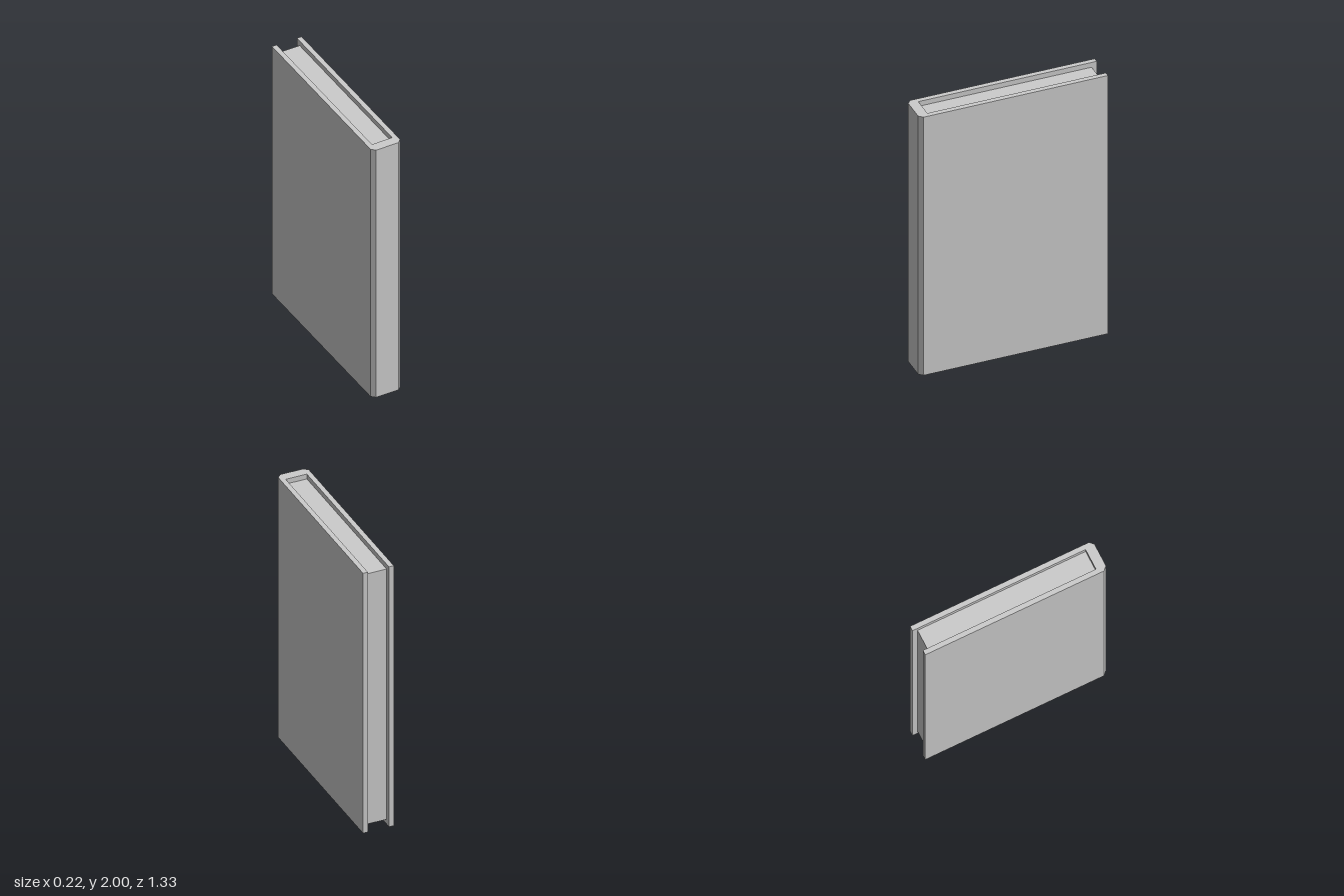
import * as THREE from 'three';

const HEIGHT = 2;
const HALF_W = 0.111, HALF_D = 0.666; // outer half width and depth
const INNER_W = 0.076;                // half width between the boards
const SPINE_IN = 0.597;               // inner face of the spine
const CHAMFER = 0.027;                // bevel along the spine edges
const INSET = 0.037;                  // pages set back from the cover edges

export function createModel() {
  const group = new THREE.Group();
  group.name = 'book';
  const material = new THREE.MeshStandardMaterial({ color: 0xcccccc, flatShading: true });

  // Cover: U-shaped section (two boards and a bevelled spine) extruded upwards
  const outline = [
    [-HALF_W, -HALF_D], [-HALF_W, HALF_D - CHAMFER], [-HALF_W + CHAMFER, HALF_D],
    [HALF_W - CHAMFER, HALF_D], [HALF_W, HALF_D - CHAMFER], [HALF_W, -HALF_D],
    [INNER_W, -HALF_D], [INNER_W, SPINE_IN], [-INNER_W, SPINE_IN], [-INNER_W, -HALF_D],
  ];
  const section = new THREE.Shape(outline.map(([x, z]) => new THREE.Vector2(x, -z)));
  const coverGeometry = new THREE.ExtrudeGeometry(section, { depth: HEIGHT, bevelEnabled: false });
  coverGeometry.rotateX(-Math.PI / 2);
  const cover = new THREE.Mesh(coverGeometry, material);
  cover.name = 'cover';
  group.add(cover);

  // Page block: fills the cover, recessed at the top, bottom and back
  const back = -HALF_D + INSET;
  const pages = new THREE.Mesh(
    new THREE.BoxGeometry(INNER_W * 2, HEIGHT - INSET * 2, SPINE_IN - back), material);
  pages.position.set(0, HEIGHT / 2, (SPINE_IN + back) / 2);
  pages.name = 'pages';
  group.add(pages);

  return group;
}
